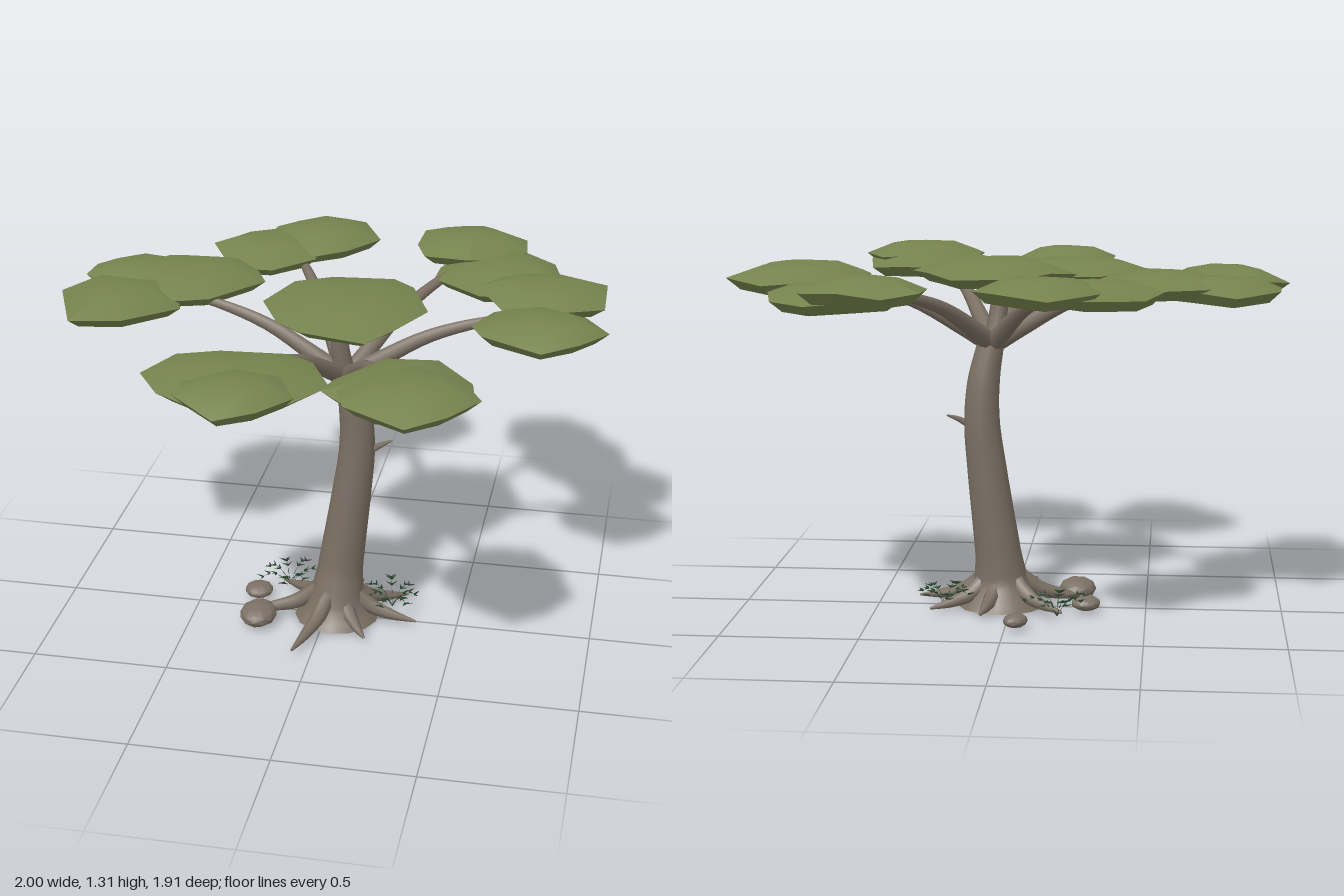
import * as THREE from 'three';
import { mergeGeometries, mergeVertices, toCreasedNormals } from 'three/addons/utils/BufferGeometryUtils.js';

const material = (name, color, side = THREE.FrontSide) => {
  const m = new THREE.MeshStandardMaterial({ color, side });
  m.name = name;
  return m;
};

// Smooth tube whose radius follows the fourth value of each point
function taperedTube(points, segments, sides) {
  const curve = new THREE.CatmullRomCurve3(points.map(p => new THREE.Vector3(p[0], p[1], p[2])));
  const geo = new THREE.TubeGeometry(curve, segments, 1, sides);
  const pos = geo.attributes.position;
  const v = new THREE.Vector3();
  for (let i = 0; i <= segments; i++) {
    const u = i / segments;
    const c = curve.getPointAt(u);
    const f = curve.getUtoTmapping(u) * (points.length - 1);
    const k = Math.min(Math.floor(f), points.length - 2);
    const r = THREE.MathUtils.lerp(points[k][3], points[k + 1][3], f - k);
    for (let j = 0; j <= sides; j++) {
      const n = i * (sides + 1) + j;
      v.fromBufferAttribute(pos, n).sub(c).multiplyScalar(r).add(c);
      pos.setXYZ(n, v.x, v.y, v.z);
    }
  }
  geo.deleteAttribute('normal');
  geo.deleteAttribute('uv');
  const merged = mergeVertices(geo, 1e-5);
  merged.computeVertexNormals();
  return merged;
}

// Irregular polygon that fills the box from -1 to 1 in x and z
function padOutline(sides, startDegrees) {
  const start = THREE.MathUtils.degToRad(startDegrees);
  const points = [];
  for (let i = 0; i < sides; i++) {
    const a = start + (i + 0.15 * Math.sin(i * 2.6 + start)) * Math.PI * 2 / sides;
    const r = 1 + 0.06 * Math.sin(i * 4.1 + start * 3);
    points.push(new THREE.Vector2(Math.cos(a) * r, Math.sin(a) * r));
  }
  const box = new THREE.Box2().setFromPoints(points);
  const centre = box.getCenter(new THREE.Vector2());
  const half = box.getSize(new THREE.Vector2()).multiplyScalar(0.5);
  return points.map(p => p.sub(centre).divide(half));
}

// Flat leaf pad: domed top, sharp rim, narrower underside
function leafPad(rx, rz, sides, startDegrees) {
  const outline = padOutline(sides, startDegrees);
  const rise = 0.052, drop = 0.045;
  const verts = [];
  const ring = (scale, y, wobble) => outline.forEach((p, i) =>
    verts.push(p.x * rx * scale, y + wobble * Math.sin(i * 2.3 + startDegrees), p.y * rz * scale));
  ring(0.55, rise * 0.8, 0.003);
  ring(1, 0, 0.01);
  ring(0.8, -drop * 0.85, 0.006);
  verts.push(0, rise, 0, 0, -drop, 0);
  const index = [];
  for (let i = 0; i < sides; i++) {
    const j = (i + 1) % sides;
    index.push(3 * sides, j, i, 3 * sides + 1, 2 * sides + i, 2 * sides + j);
    for (const a of [0, sides]) index.push(a + i, a + j, a + sides + j, a + i, a + sides + j, a + sides + i);
  }
  const geo = new THREE.BufferGeometry();
  geo.setAttribute('position', new THREE.Float32BufferAttribute(verts, 3));
  geo.setIndex(index);
  return toCreasedNormals(geo, 0.45);
}

// Low tuft of arching stems with paired leaflets
function tuftGeometry() {
  const parts = [];
  const leaf = (from, to, r) => {
    const d = to.clone().sub(from);
    const g = new THREE.ConeGeometry(r, d.length(), 3);
    g.applyQuaternion(new THREE.Quaternion().setFromUnitVectors(new THREE.Vector3(0, 1, 0), d.clone().normalize()));
    const m = from.clone().add(to).multiplyScalar(0.5);
    parts.push(g.translate(m.x, m.y, m.z));
  };
  for (let k = 0; k < 7; k++) {
    const a = k * 0.9, len = 0.085 + 0.015 * (k % 3);
    const at = t => new THREE.Vector3(Math.cos(a) * len * t, 0.07 * Math.sin(t * 2.1), Math.sin(a) * len * t);
    for (let s = 0; s < 4; s++) leaf(at(s / 4), at((s + 1) / 4), 0.0025);
    for (let s = 2; s <= 4; s++) for (const side of [-1, 1]) {
      const p = at(s / 4);
      const b = a + side * 0.9;
      leaf(p, p.clone().add(new THREE.Vector3(Math.cos(b) * 0.028, 0.005, Math.sin(b) * 0.028)), 0.005);
    }
  }
  return mergeGeometries(parts);
}

export function createModel() {
  const model = new THREE.Group();
  model.name = 'flatToppedTree';
  const bark = material('bark', 0x7a6f62);
  const foliage = material('foliage', 0x75834e);
  const stone = material('stone', 0x7b7065);
  const fern = material('fern', 0x2b4a30);
  const add = (name, geo, mat, parent = model) => {
    const mesh = new THREE.Mesh(geo, mat);
    mesh.name = name;
    parent.add(mesh);
    return mesh;
  };
  const addGroup = name => {
    const group = new THREE.Group();
    group.name = name;
    model.add(group);
    return group;
  };

  // Curved trunk with flared foot
  add('trunk', taperedTube([
    [0.04, 0.005, 0, 0.16], [0.04, 0.05, 0, 0.125], [0.042, 0.1, 0, 0.102], [0.05, 0.2, -0.01, 0.086],
    [0.07, 0.36, -0.016, 0.079], [0.09, 0.52, -0.02, 0.073], [0.108, 0.7, -0.025, 0.066],
    [0.102, 0.85, -0.022, 0.06], [0.07, 1.02, -0.01, 0.047]], 40, 14), bark);
  const foot = add('trunkBase', new THREE.CircleGeometry(0.16, 14), bark);
  foot.rotation.x = Math.PI / 2;
  foot.position.set(0.04, 0.005, 0);
  add('brokenTwig', taperedTube([
    [0.14, 0.68, -0.025, 0.015], [0.19, 0.71, -0.035, 0.011], [0.235, 0.728, -0.05, 0.003]], 6, 6), bark);

  // Roots spreading over the ground, given by their tips
  const roots = addGroup('roots');
  [[-0.07, 0.34], [0.18, 0.2], [0.35, 0.04], [0.29, -0.16], [0.1, -0.24], [-0.2, -0.18], [-0.3, 0.07]].forEach(([x, z]) => {
    const dx = x - 0.04;
    add('root', taperedTube([
      [0.04 + dx * 0.2, 0.12, z * 0.2, 0.03], [0.04 + dx * 0.42, 0.062, z * 0.42, 0.03],
      [0.04 + dx * 0.7, 0.037, z * 0.7, 0.02], [x, 0.024, z, 0.004]], 10, 7), bark, roots);
  });

  // Boughs arching from the crown of the trunk, given by their tips
  const boughs = addGroup('boughs');
  [[-0.56, -0.1], [0.7, -0.11], [-0.24, -0.62], [0.42, -0.6], [-0.17, 0.56], [0.33, 0.58]].forEach(([x, z]) => {
    const dx = x - 0.07;
    add('bough', taperedTube([
      [0.07, 0.985, -0.01, 0.036], [0.07 + dx * 0.18, 1.055, z * 0.18, 0.033],
      [0.07 + dx * 0.45, 1.148, z * 0.45, 0.025], [0.07 + dx * 0.75, 1.205, z * 0.75, 0.019],
      [x, 1.225, z, 0.012]], 14, 8), bark, boughs);
  });
  add('bough', taperedTube([
    [0.07, 0.98, -0.01, 0.04], [0.05, 1.1, 0.005, 0.034], [0.04, 1.25, 0.01, 0.024]], 8, 8), bark, boughs);

  // Leaf pads: centre x, rim height, centre z, half width, half depth, sides, first corner in degrees
  const canopy = addGroup('canopy');
  [
    [0.06, 1.255, -0.02, 0.3, 0.31, 10, 0],
    [-0.145, 1.255, -0.73, 0.215, 0.23, 7, 0],
    [-0.35, 1.235, -0.605, 0.21, 0.225, 7, 20],
    [0.43, 1.255, -0.735, 0.21, 0.195, 9, 10],
    [0.56, 1.215, -0.56, 0.24, 0.27, 8, 15],
    [0.735, 1.25, -0.285, 0.235, 0.205, 7, 25],
    [0.76, 1.235, 0.025, 0.24, 0.195, 8, 0],
    [0.365, 1.225, 0.595, 0.255, 0.245, 8, 20],
    [0.405, 1.255, 0.715, 0.235, 0.23, 8, 0],
    [-0.205, 1.205, 0.575, 0.325, 0.255, 10, 0],
    [-0.155, 1.235, 0.757, 0.195, 0.198, 7, 0],
    [-0.54, 1.235, -0.24, 0.26, 0.25, 6, 0],
    [-0.755, 1.22, -0.285, 0.205, 0.205, 7, 0],
    [-0.765, 1.23, 0.02, 0.235, 0.22, 6, 5],
  ].forEach(([x, y, z, rx, rz, sides, start]) =>
    add('leafPad', leafPad(rx, rz, sides, start), foliage, canopy).position.set(x, y, z));

  // Stones around the foot
  [
    [-0.24, 0.042, 0.12, 0.07, 0.042, 0.085],
    [-0.28, 0.035, -0.07, 0.055, 0.028, 0.055],
    [-0.04, 0.036, -0.335, 0.042, 0.026, 0.05],
  ].forEach(([x, y, z, sx, sy, sz], i) => {
    const rock = add('rock', toCreasedNormals(new THREE.IcosahedronGeometry(1, 1), 0.5), stone);
    rock.position.set(x, y, z);
    rock.scale.set(sx, sy, sz);
    rock.rotation.y = i * 1.3;
  });

  // Fern tufts
  [[0.24, -0.08], [-0.18, -0.17]].forEach(([x, z], i) => {
    const tuft = add('fernTuft', tuftGeometry(), fern);
    tuft.position.set(x, 0.012, z);
    tuft.rotation.y = i * 2;
  });

  return model;
}
